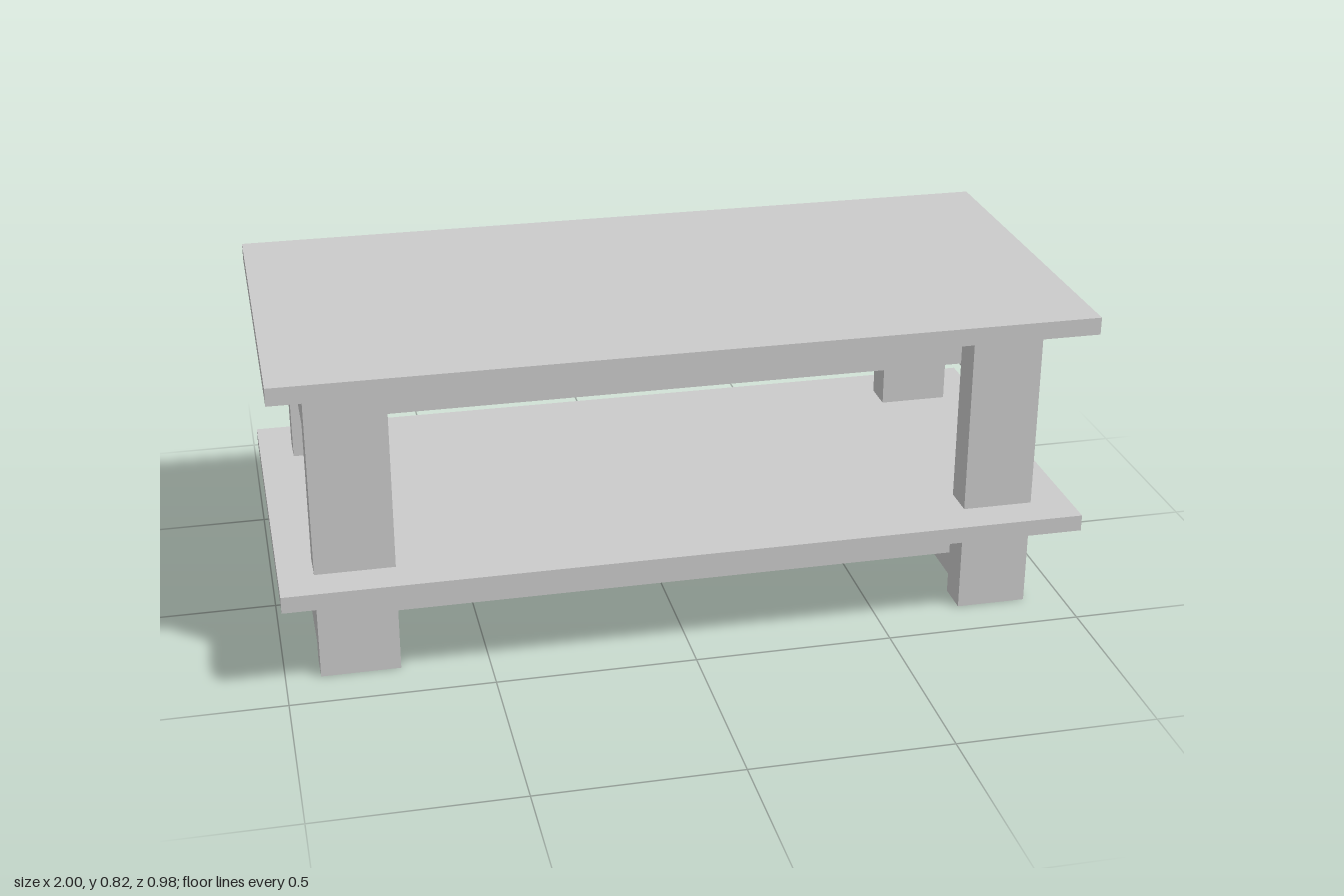
import * as THREE from 'three';

const material = new THREE.MeshStandardMaterial({ color: 0xcccccc, flatShading: true });

// Box given by its extents along each axis
function board(name, [x0, x1], [y0, y1], [z0, z1]) {
  const mesh = new THREE.Mesh(new THREE.BoxGeometry(x1 - x0, y1 - y0, z1 - z0), material);
  mesh.name = name;
  mesh.position.set((x0 + x1) / 2, (y0 + y1) / 2, (z0 + z1) / 2);
  return mesh;
}

export function createModel() {
  const table = new THREE.Group();
  table.name = 'coffeeTable';

  // Table top and lower shelf, slightly offset from each other in depth
  table.add(board('tableTop', [-1, 1], [0.778, 0.822], [-0.477, 0.492]));
  table.add(board('shelf', [-1, 1], [0.239, 0.281], [-0.49, 0.479]));

  // Leg pairs with the end rails between them
  const ends = [
    { side: 'right', x: [-0.914, -0.718] },
    { side: 'left', x: [0.722, 0.9] },
  ];
  for (const { side, x } of ends) {
    table.add(board(side + 'FrontLeg', x, [0, 0.778], [0.296, 0.382]));
    table.add(board(side + 'BackLeg', x, [0, 0.778], [-0.382, -0.296]));
    table.add(board(side + 'UpperEndRail', x, [0.64, 0.778], [-0.296, 0.296]));
    table.add(board(side + 'LowerEndRail', x, [0.051, 0.239], [-0.296, 0.296]));
  }

  // Long rails set back behind the legs
  const span = [-0.718, 0.722];
  for (const [name, z] of [['front', [0.227, 0.296]], ['back', [-0.296, -0.227]]]) {
    table.add(board(name + 'UpperRail', span, [0.646, 0.778], z));
    table.add(board(name + 'LowerRail', span, [0.113, 0.239], z));
  }
  return table;
}
